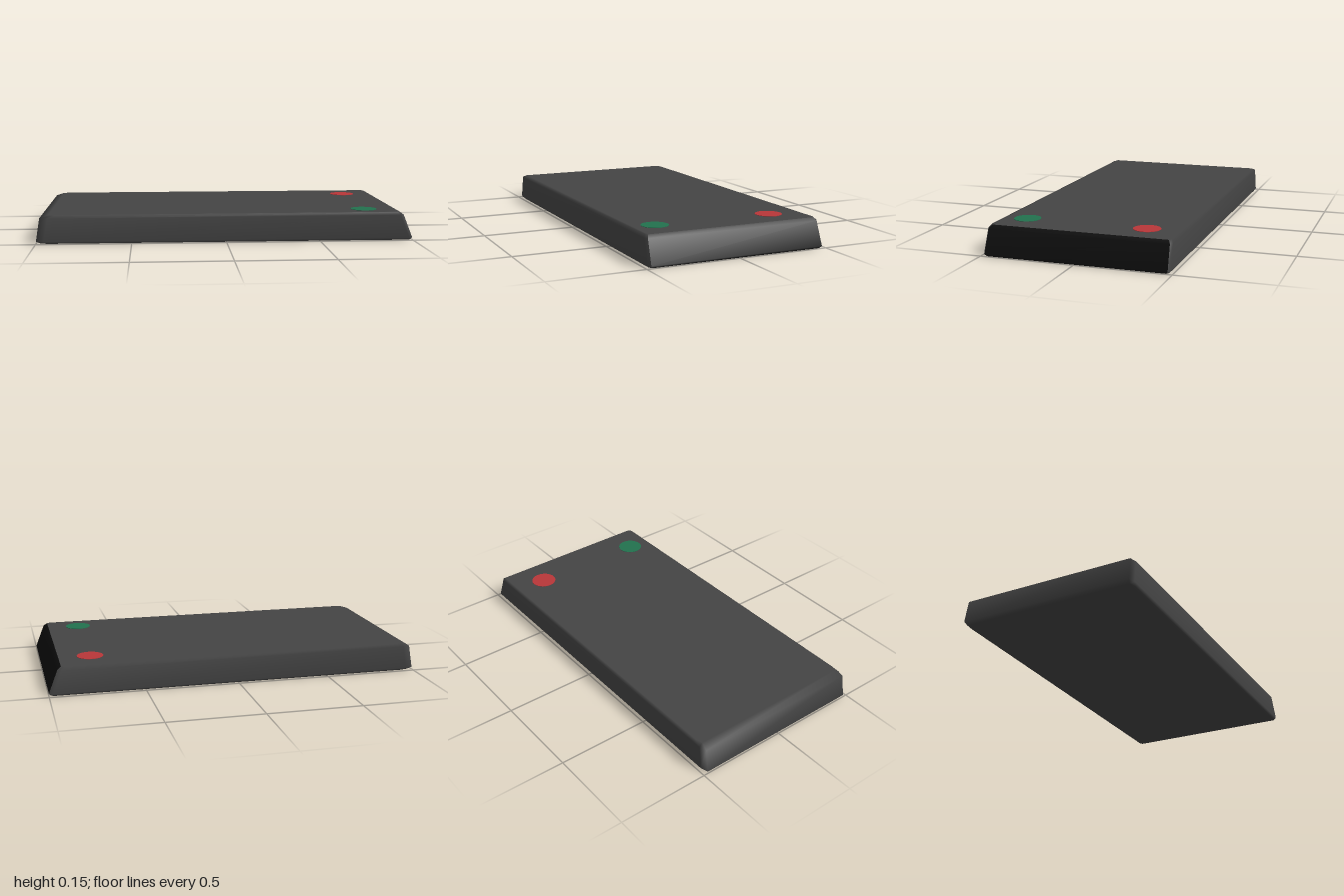
import * as THREE from 'three';

export function createModel() {
  const model = new THREE.Group();
  const paint = (name, color) => {
    const m = new THREE.MeshStandardMaterial({ color });
    m.name = name;
    return m;
  };
  const charcoal = paint('charcoal', 0x444444);
  const black = paint('black', 0x0e0e0e);
  const red = paint('red', 0xb83639);
  const green = paint('green', 0x22714e);

  // Chamfered outlines stacked from bottom to top: [y, xMin, xMax, half depth]
  const layers = [
    [0, -0.975, 0.99, 0.478],
    [0.012, -1, 1, 0.488],
    [0.135, -0.98, 0.952, 0.484],
    [0.15, -0.935, 0.932, 0.473],
  ];
  const N = 8;
  const positions = [];
  for (const [y, a, b, d] of layers) {
    const e = d - 0.011;
    const ring = [[b, e], [b, -e], [b - 0.018, -d], [a + 0.04, -d],
      [a, -e], [a, e], [a + 0.04, d], [b - 0.018, d]];
    for (const [x, z] of ring) positions.push(x, y, z);
  }

  // Walls; segment 0 of every ring is the sloped end panel
  const shell = [], panel = [];
  for (let k = 0; k < layers.length - 1; k++) {
    for (let i = 0; i < N; i++) {
      const p = k * N + i, q = k * N + (i + 1) % N;
      (i === 0 ? panel : shell).push(p, q, q + N, p, q + N, p + N);
    }
  }
  // Bottom and top caps
  const t = (layers.length - 1) * N;
  for (let i = 1; i < N - 1; i++) {
    shell.push(0, i + 1, i);
    shell.push(t, t + i, t + i + 1);
  }

  const addPart = (name, index, material) => {
    const g = new THREE.BufferGeometry();
    g.setAttribute('position', new THREE.Float32BufferAttribute(positions, 3));
    g.setIndex(index);
    g.computeVertexNormals();
    const mesh = new THREE.Mesh(g, material);
    mesh.name = name;
    model.add(mesh);
  };
  addPart('body', shell, charcoal);
  addPart('endPanel', panel, black);

  // Round indicator dots on the top
  for (const [name, x, z, mat] of [['redDot', 0.765, -0.3, red], ['greenDot', 0.76, 0.348, green]]) {
    const dot = new THREE.Mesh(new THREE.CylinderGeometry(0.07, 0.07, 0.003, 40), mat);
    dot.name = name;
    dot.position.set(x, 0.1505, z);
    model.add(dot);
  }
  return model;
}
